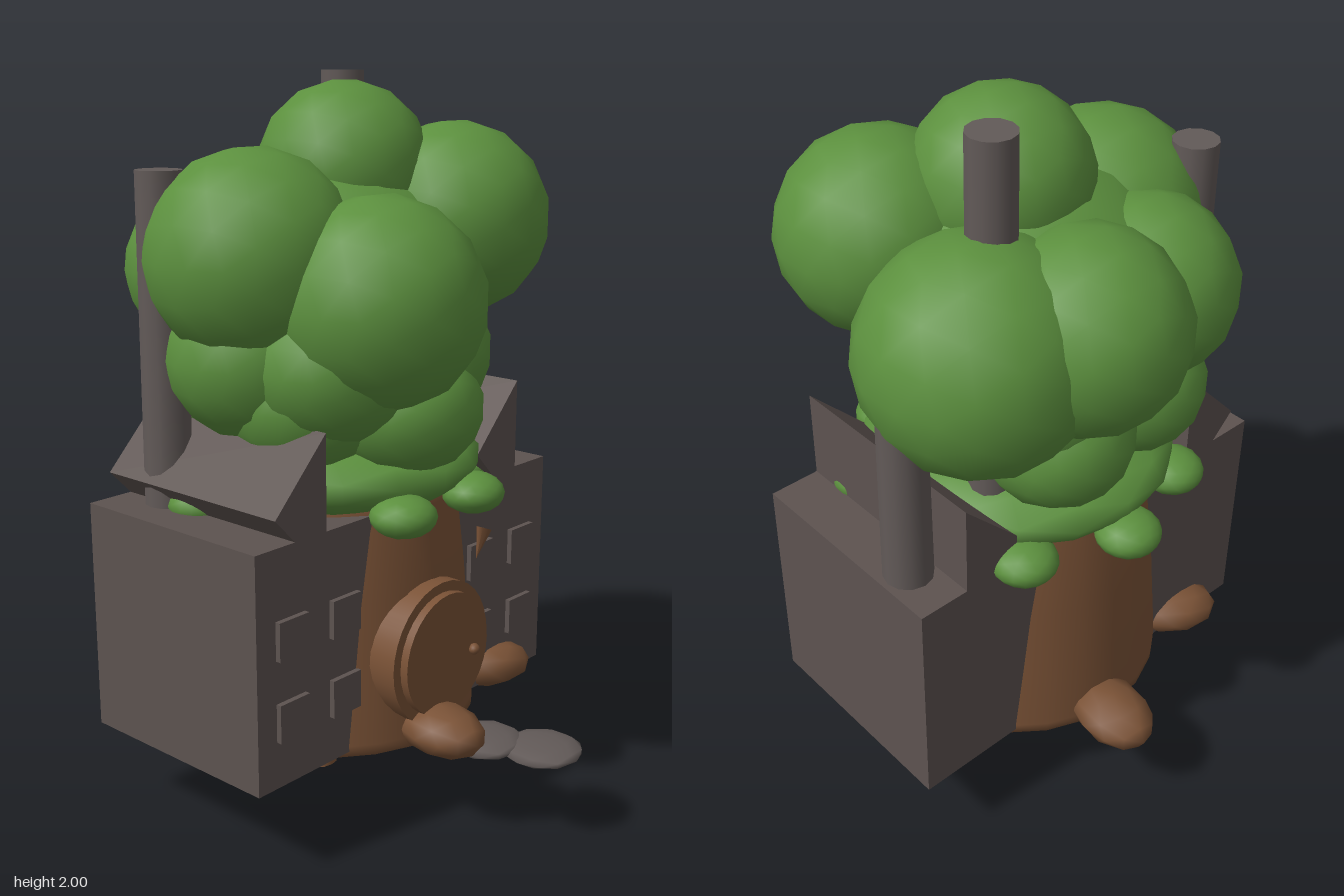
import * as THREE from 'three';

const mat = (name, color) => {
  const m = new THREE.MeshStandardMaterial({ color });
  m.name = name;
  return m;
};

export function createModel() {
  const model = new THREE.Group();
  model.name = 'treeHouse';
  const wood = mat('bark brown', 0x7a5236);
  const leaf = mat('leaf green', 0x5c903e);
  const wall = mat('wall grey', 0x5d5350);
  const stone = mat('stone grey', 0x625a58);
  const cloud = mat('cloud grey', 0xa6b1b9);
  const CZ = -0.1; // trunk axis in z

  const add = (name, geo, material, x = 0, y = 0, z = 0) => {
    const m = new THREE.Mesh(geo, material);
    m.name = name;
    m.position.set(x, y, z);
    model.add(m);
    return m;
  };
  // Balls with smooth normals: rounder for the foliage, coarser for the rest
  const leafBall = new THREE.IcosahedronGeometry(1, 2);
  const coarseBall = new THREE.IcosahedronGeometry(1, 1);
  const blob = (name, material, x, y, z, rx, ry = rx, rz = rx, turn = 0) => {
    const m = add(name, material === leaf ? leafBall : coarseBall, material, x, y, z);
    m.scale.set(rx, ry, rz);
    m.rotation.y = turn;
    return m;
  };

  // Trunk, flaring slightly towards the base, with a recessed underside
  const profile = [[0, 0.25], [0.41, 0.25], [0.418, 0.23], [0.42, 0.26], [0.405, 0.45], [0.39, 0.65], [0.365, 0.88], [0.34, 0.96], [0, 0.96]];
  add('trunk', new THREE.LatheGeometry(profile.map(p => new THREE.Vector2(...p)), 24), wood, 0, 0, CZ);

  // Six roots around the trunk
  for (let i = 0; i < 6; i++) {
    const a = THREE.MathUtils.degToRad(-7 + i * 60);
    blob('root', wood, Math.sin(a) * 0.47, 0.285, CZ + Math.cos(a) * 0.47, 0.1, 0.068, 0.14, a);
  }

  // Round door with raised panel and knob
  const disc = (name, r, z0, z1) => {
    const g = new THREE.CylinderGeometry(r, r, z1 - z0, 32).rotateX(Math.PI / 2);
    return add(name, g, wood, -0.01, 0.48, (z0 + z1) / 2);
  };
  disc('doorFrame', 0.2, 0.2, 0.325);
  disc('doorPanel', 0.172, 0.3, 0.348);
  blob('doorKnob', wood, 0.095, 0.465, 0.356, 0.016);

  // Small twig beside the door and tip below the clouds
  const twig = add('twig', new THREE.ConeGeometry(0.032, 0.09, 8), wood, 0.265, 0.7, 0.24);
  twig.scale.z = 0.5;
  twig.rotation.z = 2.75;
  const tip = add('bottomTip', new THREE.CylinderGeometry(0.01, 0.037, 0.09, 8), wood, -0.01, 0.045, CZ);
  tip.scale.z = 0.45;

  // Two wings, each with a saw-tooth roof and four windows
  const tooth = new THREE.Shape();
  tooth.moveTo(0, 0.255);
  tooth.lineTo(-0.18, 0.07);
  tooth.lineTo(0, -0.115);
  tooth.closePath();
  const toothGeo = new THREE.ExtrudeGeometry(tooth, { depth: 0.63, bevelEnabled: false });
  for (const [side, x, roofX] of [['right', -0.385, -0.35], ['left', 0.38, 0.45]]) {
    add(side + 'Wing', new THREE.BoxGeometry(0.43, 0.64, 0.63), wall, x, 0.565, -0.095);
    add(side + 'Roof', toothGeo, wall, roofX, 0.885, -0.41);
    for (const dx of [-0.097, 0.097])
      for (const y of [0.425, 0.645])
        add('window', new THREE.BoxGeometry(0.104, 0.104, 0.03), wall, x + dx, y, 0.22);
  }

  // Chimneys
  for (const [x, top] of [[-0.45, 1.76], [0.235, 2], [0.515, 1.4]])
    add('chimney', new THREE.CylinderGeometry(0.062, 0.066, top - 0.87, 12), stone, x, (top + 0.87) / 2, -0.26);

  // Leaf skirt with small tufts around its rim
  blob('leafSkirt', leaf, 0, 0.96, CZ, 0.43, 0.13, 0.43);
  for (let i = 0; i < 9; i++) {
    const a = THREE.MathUtils.degToRad(20 + i * 40);
    blob('leafTuft', leaf, Math.sin(a) * 0.425, 0.893, CZ + Math.cos(a) * 0.425, 0.09, 0.056, 0.088, a);
  }

  // Lower canopy: x, y, z, radius, height radius
  const lower = [
    [-0.01, 1.14, 0.185, 0.213, 0.18], [-0.22, 1.17, 0.02, 0.21, 0.19], [0.1, 1.15, -0.1, 0.21, 0.19],
    [-0.2, 1.17, -0.31, 0.21, 0.19], [0.1, 1.17, -0.35, 0.205, 0.19],
    [-0.29, 1.28, -0.1, 0.23, 0.22], [0.09, 1.27, 0.12, 0.22, 0.21],
    [-0.2, 1.27, 0.1, 0.23, 0.21], [0.12, 1.29, -0.28, 0.24, 0.22],
  ];
  for (const [x, y, z, r, h] of lower) blob('lowerCanopy', leaf, x, y, z, r, h, r);

  // Crown: x, y, z, radius, around a broad core
  blob('crownCore', leaf, 0, 1.42, CZ, 0.44, 0.375, 0.42);
  const crown = [
    [0.035, 1.745, -0.07, 0.236], [-0.3, 1.54, -0.08, 0.283], [-0.13, 1.43, 0.2, 0.28],
    [0.265, 1.61, 0.12, 0.265], [0.295, 1.46, -0.28, 0.304], [0.08, 1.5, -0.42, 0.26],
    [-0.19, 1.48, -0.35, 0.243],
  ];
  for (const c of crown) blob('crown', leaf, ...c);

  // Stepping stones in front of the door
  blob('steppingStone', stone, 0.025, 0.25, 0.45, 0.11, 0.024, 0.11);
  blob('steppingStone', stone, 0.095, 0.245, 0.59, 0.112, 0.022, 0.11);

  // Clouds carrying the house, with bits of moss
  for (const [x, y, z] of [[-0.31, 0.25, -0.115], [-0.01, 0.24, -0.1], [0.31, 0.235, -0.085]])
    blob('cloud', cloud, x, y, z, 0.2, 0.155, 0.19);
  blob('moss', leaf, -0.1, 0.23, -0.22, 0.07, 0.03, 0.07);
  blob('moss', leaf, 0.04, 0.23, 0.1, 0.09, 0.03, 0.06);

  return model;
}
